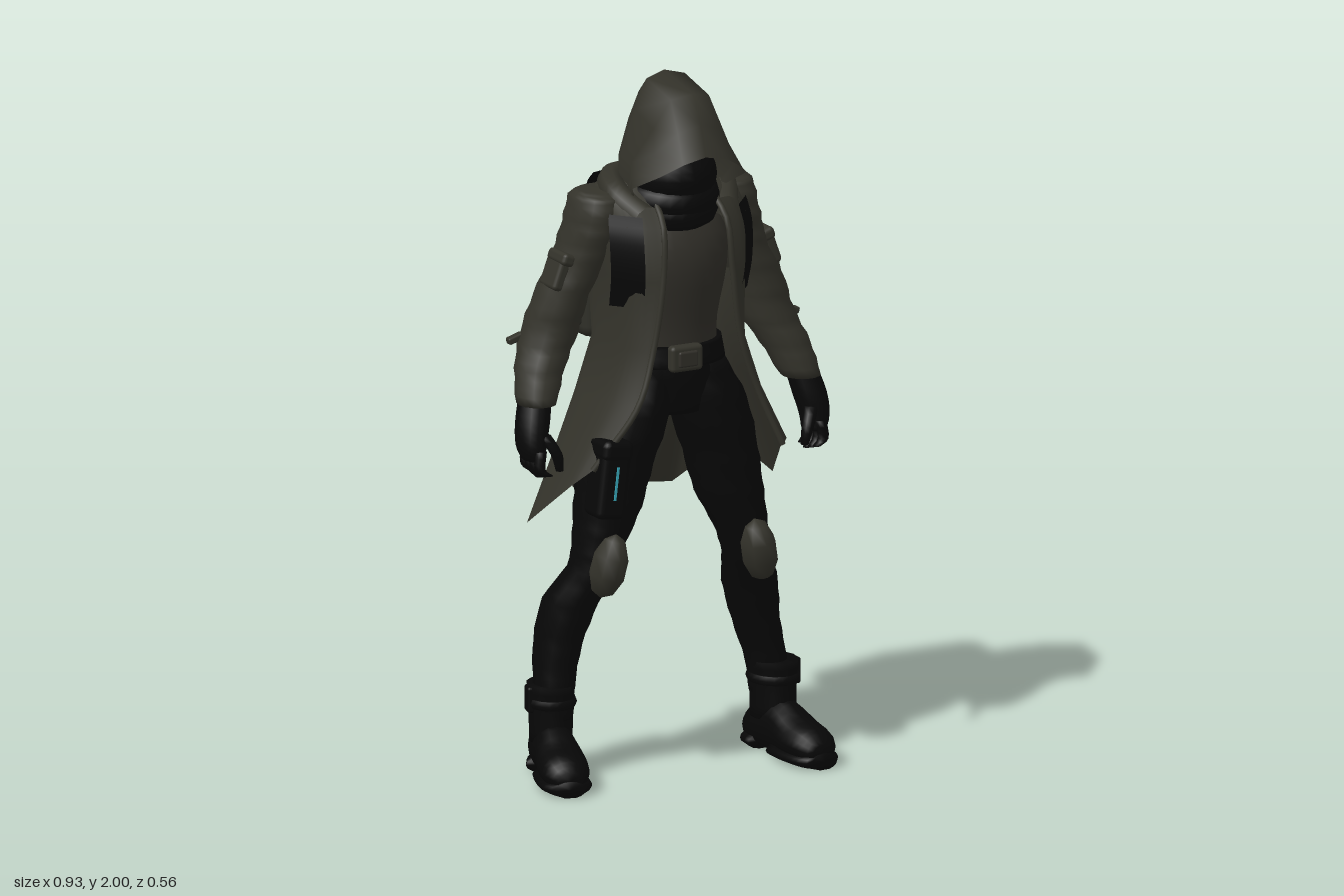
import * as THREE from 'three';
import { RoundedBoxGeometry } from 'three/addons/geometries/RoundedBoxGeometry.js';

const mat = (name, color) => {
  const m = new THREE.MeshStandardMaterial({ color, side: THREE.DoubleSide });
  m.name = name;
  return m;
};
const V = (x, y, z) => new THREE.Vector3(x, y, z);

// Surface through rows of points; each row may close on itself
function grid(rows, closed = false) {
  const n = rows[0].length, pos = [], idx = [];
  rows.forEach(r => r.forEach(p => pos.push(p.x, p.y, p.z)));
  for (let i = 0; i < rows.length - 1; i++)
    for (let j = 0; j < (closed ? n : n - 1); j++) {
      const k = (j + 1) % n, a = i * n + j, b = i * n + k, c = a + n, d = b + n;
      idx.push(a, b, c, b, d, c);
    }
  const g = new THREE.BufferGeometry();
  g.setAttribute('position', new THREE.Float32BufferAttribute(pos, 3));
  g.setIndex(idx);
  g.computeVertexNormals();
  return g;
}

// Capped limb through stations [x, y, z, r1, r2]; rings lie flat, or upright when alongZ
function limb(st, { sides = 14, steps = 3, fold = 0, alongZ = false } = {}) {
  const path = new THREE.CatmullRomCurve3(st.map(p => V(p[0], p[1], p[2])), false, 'catmullrom');
  const size = new THREE.CatmullRomCurve3(st.map(p => V(p[3], p[4], 0)), false, 'catmullrom');
  const n = (st.length - 1) * steps, rows = [];
  for (let i = 0; i <= n; i++) {
    const c = path.getPoint(i / n), r = size.getPoint(i / n), row = [];
    for (let j = 0; j < sides; j++) {
      const a = j / sides * Math.PI * 2;
      const k = 1 + fold * Math.sin(i * 2.2 + Math.sin(a) * 1.5);
      const u = Math.cos(a) * r.x * k, v = Math.sin(a) * r.y * k;
      row.push(alongZ ? V(c.x + u, Math.max(0, c.y + v), c.z) : V(c.x + u, c.y, c.z + v));
    }
    rows.push(row);
  }
  const cap = t => Array.from({ length: sides }, () => path.getPoint(t));
  return grid([cap(0), ...rows, cap(1)], true);
}

// Tension 0 keeps straight runs between the points
const curve = (pts, n, tension = 0.5) => new THREE.CatmullRomCurve3(pts, false, 'catmullrom', tension).getPoints(n);
const tube = (pts, r, n = 20) => new THREE.TubeGeometry(new THREE.CatmullRomCurve3(pts), n, r, 8);

export function createModel() {
  const olive = mat('olive cloth', 0x33322a), shirtMat = mat('dark olive shirt', 0x302e28);
  const black = mat('black cloth', 0x070707), bagMat = mat('bag shell', 0x2e2e27);
  const sole = mat('rubber', 0x060606), glow = mat('cyan light', 0x38a9bb);
  const root = new THREE.Group();
  const add = (name, geo, m, x = 0, y = 0, z = 0, parent = root) => {
    const mesh = new THREE.Mesh(geo, m);
    mesh.name = name;
    mesh.position.set(x, y, z);
    parent.add(mesh);
    return mesh;
  };
  const box = (w, h, d, r = 0.012) => new RoundedBoxGeometry(w, h, d, 2, r);
  const ball = (rx, ry, rz, n = 20) => new THREE.SphereGeometry(1, n, n * 0.7).scale(rx, ry, rz);

  // Shirt and belt
  add('shirt', limb([[0, 1.64, 0.02, 0.11, 0.08], [0, 1.55, 0.04, 0.17, 0.12], [0, 1.45, 0.05, 0.17, 0.13],
    [0, 1.3, 0.05, 0.14, 0.11], [0, 1.2, 0.04, 0.145, 0.115]], { sides: 24 }), shirtMat);
  add('hips', limb([[0, 1.24, 0.04, 0.15, 0.115], [0, 1.15, 0.04, 0.165, 0.125], [0, 1.04, 0.04, 0.11, 0.105]], { sides: 24 }), black);
  add('belt', limb([[0, 1.24, 0.04, 0.157, 0.125], [0, 1.18, 0.04, 0.168, 0.135]], { sides: 24 }), black);
  add('buckle', box(0.1, 0.075, 0.035), olive, -0.015, 1.21, 0.17);
  add('bucklePlate', box(0.06, 0.045, 0.02, 0.006), shirtMat, -0.015, 1.21, 0.185);

  // Coat: open front, ragged tails
  const halfRow = (s, [y, ex, rx, zf, zb]) => {
    const t0 = Math.asin((ex / rx) ** (1 / 0.7));
    return Array.from({ length: 9 }, (_, k) => {
      const t = t0 + (Math.PI - t0) * k / 8, c = Math.cos(t);
      return V(s * rx * Math.max(0, Math.sin(t)) ** 0.7, y, (c > 0 ? zf : -zb) * Math.sign(c) * Math.abs(c) ** 0.7);
    });
  };
  const joinHalves = (right, left) => [...right, ...left.slice(0, -1).reverse()];
  const toHalf = (s, pts) => pts.map(p => V(s * p[0], p[1], p[2]));
  const hemBack = [[0.29, 0.87, -0.1], [0.215, 0.81, -0.155], [0.145, 0.745, -0.2], [0.04, 0.765, -0.165], [0, 0.83, -0.14]];
  const hemLeft = [[0.25, 0.945, 0.25], [0.3, 0.94, 0.18], [0.34, 0.9, 0.08], [0.37, 0.785, -0.03], ...hemBack];
  const hemRight = [[0.3, 0.92, 0.16], [0.34, 0.87, 0.11], [0.38, 0.8, 0.04], [0.4, 0.735, -0.04], ...hemBack];
  const coat = [[1.71, 0.08, 0.12, 0.08, -0.08], [1.67, 0.09, 0.215, 0.13, -0.1], [1.6, 0.1, 0.22, 0.21, -0.115],
    [1.45, 0.11, 0.21, 0.232, -0.115], [1.25, 0.14, 0.2, 0.25, -0.1], [1.1, 0.19, 0.25, 0.27, -0.115]]
    .map(r => curve(joinHalves(halfRow(-1, r), halfRow(1, r)), 48));
  coat.push(curve(joinHalves(toHalf(-1, hemRight), toHalf(1, hemLeft)), 48, 0));
  add('coat', grid(coat), olive);
  for (const j of [0, 48]) add('coatEdge', tube(coat.slice(1).map(r => r[j]), 0.009, 24), olive);

  // Hood: arches from the front rim to the nape, half of each listed from the top down
  const arches = [
    [[0, 1.805, 0.262], [0.07, 1.79, 0.26], [0.125, 1.757, 0.23], [0.178, 1.715, 0.165], [0.13, 1.66, 0.09]],
    [[0, 1.89, 0.232], [0.065, 1.87, 0.22], [0.118, 1.81, 0.18], [0.163, 1.745, 0.135], [0.13, 1.655, 0.06]],
    [[0, 1.97, 0.19], [0.06, 1.955, 0.17], [0.1, 1.87, 0.14], [0.148, 1.77, 0.1], [0.13, 1.65, 0.04]],
    [[0, 2.0, 0.02], [0.06, 1.985, 0.03], [0.096, 1.9, 0.03], [0.138, 1.77, 0.02], [0.125, 1.65, -0.01]],
    [[0, 1.955, -0.03], [0.055, 1.935, -0.025], [0.085, 1.86, -0.03], [0.11, 1.76, -0.04], [0.11, 1.65, -0.05]],
    [[0, 1.81, -0.085], [0.045, 1.8, -0.08], [0.07, 1.77, -0.075], [0.09, 1.72, -0.075], [0.09, 1.65, -0.08]],
    [[0, 1.65, -0.095], [0.02, 1.65, -0.095], [0.045, 1.65, -0.09], [0.07, 1.65, -0.085], [0.09, 1.65, -0.08]],
  ].map(h => [...toHalf(-1, h).reverse(), ...toHalf(1, h).slice(1)]);
  add('hood', grid(arches), olive);
  add('maskedFace', ball(0.125, 0.1, 0.14), black, 0, 1.72, 0.06);
  [[1.66, 0.085, 0.05], [1.625, 0.085, 0.045]].forEach(([y, R, r]) => {
    add('scarfFold', new THREE.TorusGeometry(R, r, 10, 24).rotateX(Math.PI / 2 + 0.12), black, 0, y, 0.065);
  });
  add('collar', tube(joinHalves(...[-1, 1].map(s => toHalf(s,
    [[0.13, 1.62, 0.14], [0.165, 1.67, 0.05], [0.13, 1.69, -0.045], [0.07, 1.69, -0.075], [0, 1.69, -0.085]]))), 0.038, 40), olive);

  for (const s of [1, -1]) {
    const side = s > 0 ? 'left' : 'right', left = s > 0;
    const part = (name, geo, m, x = 0, y = 0, z = 0) => add(side + name, geo, m, s * x, y, z);
    const flip = (pts, dz) => pts.map(([x, y, z, a, b]) => [s * x, y, z + dz(y), a, b]);

    // Arms: the right one is held further back
    const armZ = y => (left ? 0 : -0.08 * Math.min(1, Math.max(0, (1.6 - y) / 0.4)));
    part('Sleeve', limb(flip([[0.195, 1.68, 0, 0.06, 0.06], [0.205, 1.655, 0, 0.072, 0.095], [0.22, 1.58, 0, 0.074, 0.1],
      [0.245, 1.49, 0, 0.075, 0.092], [0.292, 1.38, 0.005, 0.077, 0.085], [0.323, 1.27, 0.012, 0.08, 0.085],
      [0.365, 1.18, 0.05, 0.07, 0.072], [0.395, 1.09, 0.085, 0.056, 0.062]], armZ), { fold: 0.035, steps: 4 }), olive);
    part('Glove', limb(flip([[0.395, 1.12, 0.08, 0.045, 0.05], [0.415, 1.04, 0.1, 0.047, 0.055],
      [0.425, 0.98, 0.11, 0.04, 0.055], [0.42, 0.94, 0.115, 0.03, 0.05]], armZ)), black);
    for (let f = 0; f < 4; f++) {
      const z = 0.075 + f * 0.028;
      part('Finger', limb(flip([[0.42, 0.97, z, 0.017, 0.016], [0.425, 0.92, z + 0.004, 0.016, 0.015],
        [0.4, 0.885 + 0.008 * Math.abs(f - 1), z + 0.01, 0.011, 0.012]], armZ), { sides: 8 }), black);
    }
    part('Thumb', limb(flip([[0.4, 1.01, 0.14, 0.02, 0.02], [0.375, 0.96, 0.165, 0.018, 0.018],
      [0.365, 0.91, 0.165, 0.011, 0.012]], armZ), { sides: 8 }), black);
    part('ArmPocket', box(0.035, 0.09, 0.09), olive, 0.325, 1.45, 0.015 + armZ(1.46)).rotation.z = s * 0.35;
    part('PocketFlap', box(0.04, 0.035, 0.1), olive, 0.31, 1.495, 0.015 + armZ(1.5)).rotation.z = s * 0.35;
    part('ForearmTab', box(0.05, 0.02, 0.025, 0.006), olive, 0.41, 1.255, left ? 0 : -0.09).rotation.z = -s * 0.3;

    // Harness: a strip in front of the armpit and one from the shoulder to the bag
    const strap = (name, pts, w, slant) => part(name, grid(curve(toHalf(s, pts), 14).map(p =>
      [-w, 0, w].map(d => V(p.x + d, p.y, p.z - s * d * slant)))), black);
    strap('ChestStrap', [[0.185, 1.37, 0.142], [0.19, 1.46, 0.162], [0.192, 1.56, 0.158], [0.185, 1.63, 0.135]], 0.033, 1.2);
    strap('BackStrap', [[0.15, 1.71, -0.065], [0.15, 1.67, -0.102], [0.145, 1.6, -0.122], [0.14, 1.5, -0.125]], 0.033, -0.3);

    // Legs: the left one steps forward
    const legZ = y => (left ? 0 : -0.045 * Math.min(1, Math.max(0, (1.05 - y) / 0.4)));
    part('Trouser', limb(flip([[0.08, 1.18, 0.04, 0.08, 0.11], [0.12, 1.05, 0.045, 0.11, 0.125], [0.16, 0.9, 0.05, 0.104, 0.118],
      [0.183, 0.78, 0.06, 0.095, 0.105], [0.212, 0.68, 0.075, 0.075, 0.085], [0.232, 0.6, 0.07, 0.067, 0.08],
      [0.27, 0.5, 0.02, 0.076, 0.09], [0.3, 0.38, 0, 0.065, 0.082], [left ? 0.33 : 0.315, 0.26, 0.005, 0.057, 0.068],
      [left ? 0.337 : 0.32, 0.17, 0.01, 0.054, 0.065]], legZ), { fold: 0.022, steps: 4, sides: 16 }), black);
    part('KneePad', ball(0.053, 0.095, 0.06, 8), olive, 0.225, 0.625, 0.155 + legZ(0.6)).rotation.set(0.12, 0, s * 0.2);

    // Boots
    const boot = new THREE.Group();
    boot.name = side + 'Boot';
    boot.position.set(s * (left ? 0.345 : 0.325), 0, left ? 0.03 : -0.035);
    boot.rotation.y = left ? 0.1 : -0.28;
    root.add(boot);
    const foot = [[0, 0.06, -0.1, 0.042, 0.045], [0, 0.08, -0.04, 0.058, 0.075], [0, 0.082, 0.05, 0.06, 0.08],
      [0, 0.065, 0.13, 0.07, 0.06], [0, 0.056, 0.2, 0.064, 0.05], [0, 0.045, 0.24, 0.036, 0.026]];
    const tread = (from, to) => foot.slice(from, to).map(p => [0, 0.022, p[2] * 1.02, p[3] + 0.006, 0.024]);
    add('foot', limb(foot, { alongZ: true, sides: 16 }), black, 0, 0, 0, boot);
    add('heel', limb(tread(0, 2), { alongZ: true, sides: 16 }), sole, 0, 0, 0, boot);
    add('sole', limb(tread(2, 6), { alongZ: true, sides: 16 }), sole, 0, 0, 0, boot);
    add('shaft', limb([[0, 0.265, -0.01, 0.068, 0.08], [0, 0.2, -0.01, 0.063, 0.076], [0, 0.1, -0.01, 0.06, 0.078]]), black, 0, 0, 0, boot);
    add('bootStrap', new THREE.TorusGeometry(0.063, 0.009, 6, 20).rotateX(Math.PI / 2).scale(1, 1.6, 1.2), black, 0, 0.215, -0.01, boot);
    add('bootClasp', box(0.022, 0.075, 0.05, 0.008), black, s * 0.062, 0.225, 0, boot);

    // Light pods on the sides of the bag
    const px = -0.01 + s * 0.17;
    add(side + 'BagPod', box(0.03, 0.25, 0.1), bagMat, px, 1.37, -0.195);
    for (let i = 0; i < 4; i++)
      add(side + 'BagLight', new THREE.BoxGeometry(0.004, 0.04, 0.015), glow, px + s * 0.0145, 1.31 + i * 0.044, -0.222);
    add(side + 'BagClip', box(0.022, 0.09, 0.02, 0.006), bagMat, -0.01 + s * 0.14, 1.3, -0.264);
  }

  // Bag
  add('bag', box(0.32, 0.375, 0.145, 0.035), bagMat, -0.01, 1.395, -0.195);
  add('bagUpperPanel', box(0.26, 0.19, 0.02), bagMat, -0.01, 1.465, -0.268);
  add('bagLowerPanel', box(0.26, 0.12, 0.02), bagMat, -0.01, 1.295, -0.268);
  add('bagHandle', tube([[-0.06, 1.575], [-0.05, 1.6], [0.03, 1.6], [0.04, 1.575]].map(p => V(p[0], p[1], -0.17)), 0.012), bagMat);

  // Thigh pouch
  const pouch = new THREE.Group();
  pouch.name = 'thighPouch';
  pouch.position.set(-0.25, 0.89, 0.155);
  pouch.rotation.z = -0.12;
  root.add(pouch);
  add('pouchBody', box(0.09, 0.22, 0.1, 0.02), black, 0, 0, 0, pouch);
  add('pouchFlap', box(0.095, 0.06, 0.108, 0.02), black, 0, 0.085, 0, pouch);
  add('pouchLight', new THREE.BoxGeometry(0.007, 0.095, 0.006), glow, 0, -0.005, 0.05, pouch);

  return root;
}
